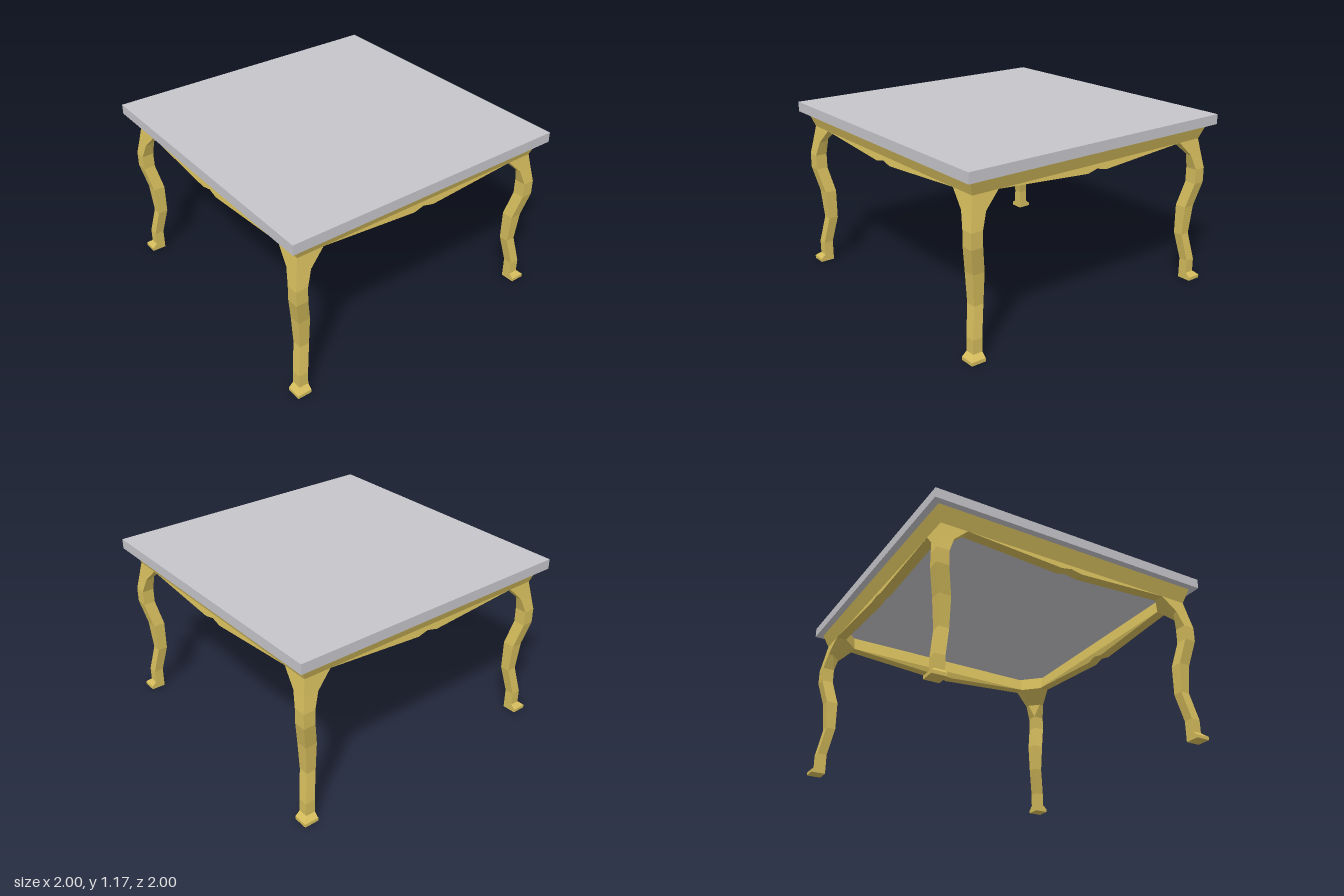
import * as THREE from 'three';

// Skins a list of closed cross-sections with flat faces; optional end caps
function loft(rings, caps) {
  const pos = [];
  const tri = (a, b, c) => {
    const area = b.clone().sub(a).cross(c.clone().sub(a)).length();
    if (area > 1e-7) for (const p of [a, b, c]) pos.push(p.x, p.y, p.z);
  };
  const n = rings[0].length;
  for (let k = 0; k < rings.length - 1; k++) {
    for (let j = 0; j < n; j++) {
      const m = (j + 1) % n;
      tri(rings[k][j], rings[k + 1][j], rings[k + 1][m]);
      tri(rings[k][j], rings[k + 1][m], rings[k][m]);
    }
  }
  if (caps) {
    const first = rings[0], last = rings[rings.length - 1];
    for (let j = 1; j < n - 1; j++) {
      tri(first[0], first[j], first[j + 1]);
      tri(last[0], last[j + 1], last[j]);
    }
  }
  const g = new THREE.BufferGeometry();
  g.setAttribute('position', new THREE.Float32BufferAttribute(pos, 3));
  g.computeVertexNormals();
  return g;
}

const V = (x, y, z) => new THREE.Vector3(x, y, z);

export function createModel() {
  const model = new THREE.Group();
  const gold = new THREE.MeshStandardMaterial({ name: 'gold', color: 0xd4bc5c, flatShading: true });
  const gray = new THREE.MeshStandardMaterial({ name: 'pale gray', color: 0xc6c5ca, flatShading: true });

  // Square slab top
  const top = new THREE.Mesh(new THREE.BoxGeometry(2, 0.067, 2), gray);
  top.name = 'tableTop';
  top.position.y = 1.1335;
  model.add(top);

  // Curved leg: height, outer edge, inner edge, chamfer edge (square when omitted)
  const legProfile = [
    [1.1, 0.955, 0.74, 0.875],
    [1.0, 0.92, 0.74, 0.85],
    [0.9, 0.938, 0.84, 0.905],
    [0.8, 0.957, 0.876],
    [0.7, 0.957, 0.876],
    [0.53, 0.92, 0.84],
    [0.33, 0.906, 0.84],
    [0.14, 0.94, 0.875],
    [0.05, 0.94, 0.875],
    [0.022, 0.972, 0.875],
    [0, 0.972, 0.875],
  ];
  const legGeometry = loft(legProfile.map(([y, o, i, t = i]) =>
    [V(o, y, o), V(o, y, i), V(t, y, i), V(i, y, t), V(i, y, o)]), true);

  // Apron: bent panel with a shaped lower edge
  const lowerEdge = [[0.74, 1.0], [0.075, 0.955], [0, 0.972], [-0.075, 0.955], [-0.74, 1.0]];
  const apronGeometry = loft(lowerEdge.map(([x, y]) => {
    const flare = (1 - y) * 0.18;
    return [
      V(x, 1.1, 0.955), V(x, 1.0, 0.92), V(x, y, 0.92 + flare),
      V(x, y, 0.85 + flare), V(x, 1.0, 0.85), V(x, 1.1, 0.875),
    ];
  }), false);

  // One leg and one apron per quarter turn
  const legNames = ['frontLeftLeg', 'backLeftLeg', 'backRightLeg', 'frontRightLeg'];
  const apronNames = ['frontApron', 'leftApron', 'backApron', 'rightApron'];
  for (let q = 0; q < 4; q++) {
    const leg = new THREE.Mesh(legGeometry, gold);
    leg.name = legNames[q];
    const apron = new THREE.Mesh(apronGeometry, gold);
    apron.name = apronNames[q];
    leg.rotation.y = apron.rotation.y = q * Math.PI / 2;
    model.add(leg, apron);
  }
  return model;
}
